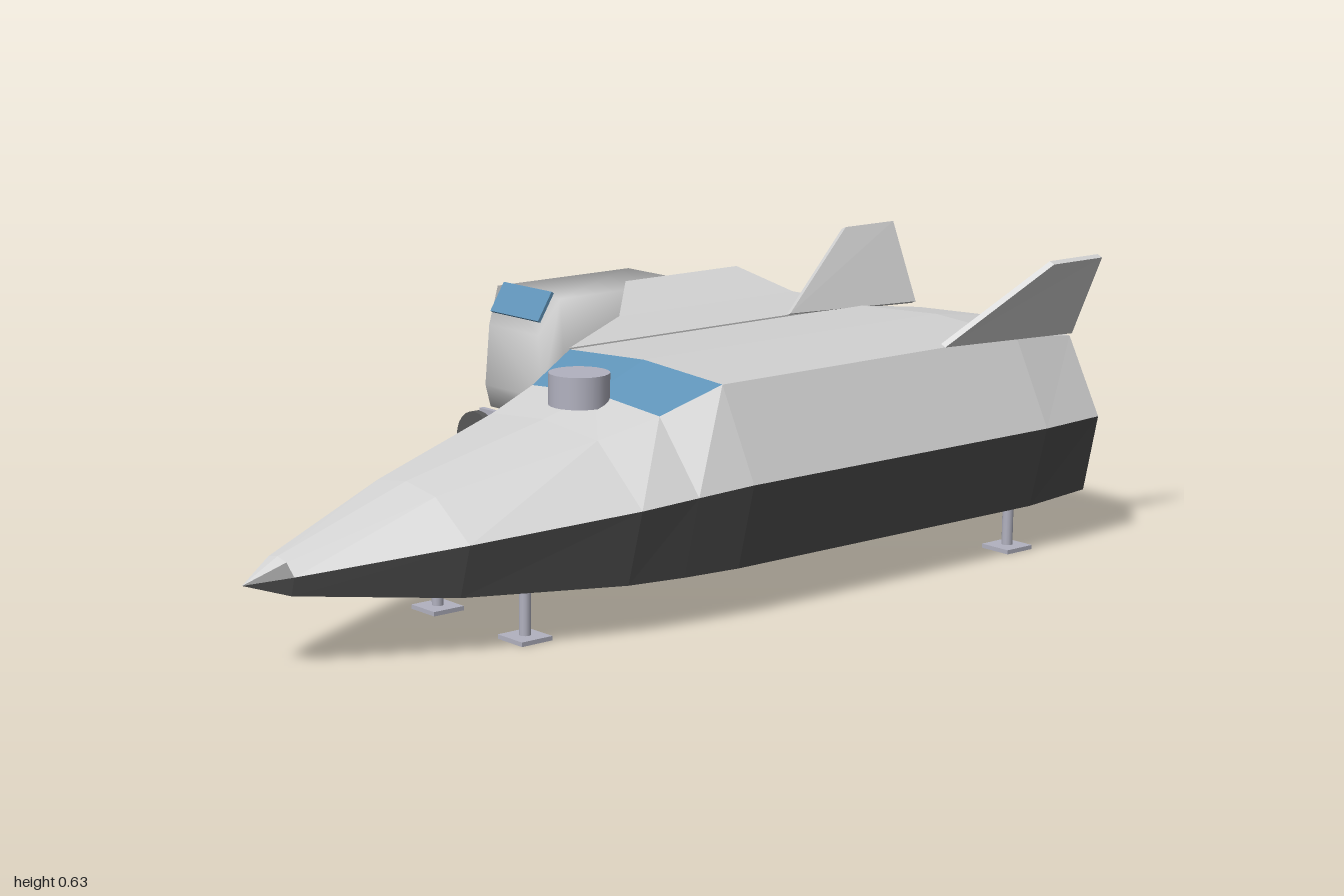
import * as THREE from 'three';

const mat = (name, color, side = THREE.FrontSide) => {
  const m = new THREE.MeshStandardMaterial({ color, side });
  m.name = name;
  return m;
};

export function createModel() {
  const root = new THREE.Group();
  root.name = 'shuttleAndRover';
  const light = mat('hullGrey', 0xd2d2d2, THREE.DoubleSide);
  const dark = mat('undersideGrey', 0x505050, THREE.DoubleSide);
  const bay = mat('bayShadow', 0x3e3b46);
  const glass = mat('windowBlue', 0x5f93b8, THREE.DoubleSide);
  const metal = mat('metalGrey', 0xb2b2c0);
  const tyre = mat('tyreGrey', 0x585858);
  const CZ = 0.405; // ship centreline

  const add = (name, geometry, material, x = 0, y = 0, z = 0, parent = root) => {
    const m = new THREE.Mesh(geometry, material);
    m.name = name;
    m.position.set(x, y, z);
    parent.add(m);
    return m;
  };
  const box = (name, w, h, d, material, x, y, z, parent) =>
    add(name, new THREE.BoxGeometry(w, h, d), material, x, y, z, parent);
  const faceted = (points) => {
    const g = new THREE.BufferGeometry().setFromPoints(points);
    g.computeVertexNormals();
    return g;
  };

  // Hull cross-sections: x, bottom y/half width, middle y/half width, top y/half width, ridge y
  const stations = [
    [-1, 0.172, 0, 0.172, 0, 0.172, 0, 0.172],
    [-0.92, 0.148, 0.045, 0.186, 0.055, 0.21, 0.03, 0.216],
    [-0.62, 0.12, 0.17, 0.228, 0.2, 0.302, 0.093, 0.316],
    [-0.28, 0.106, 0.26, 0.261, 0.3, 0.377, 0.165, 0.392],
    [-0.15, 0.104, 0.277, 0.271, 0.317, 0.413, 0.198, 0.428],
    [-0.02, 0.104, 0.29, 0.28, 0.332, 0.466, 0.236, 0.48],
    [0.32, 0.104, 0.29, 0.28, 0.332, 0.466, 0.236, 0.48],
    [0.82, 0.104, 0.29, 0.28, 0.332, 0.466, 0.236, 0.48],
    [1, 0.112, 0.28, 0.28, 0.315, 0.444, 0.226, 0.456],
  ];
  const rings = stations.map(([x, by, bw, my, mw, ty, tw, ry]) =>
    [[by, bw], [my, mw], [ty, tw], [ry, 0], [ty, -tw], [my, -mw], [by, -bw]]
      .map(([y, w]) => new THREE.Vector3(x, y, CZ + w)));
  const skins = { upperHull: [], lowerHull: [], windscreen: [], cargoOpening: [] };
  const skinOf = (i, j) => {
    if (i === 4 && (j === 2 || j === 3)) return 'windscreen';
    if (j === 4 && (i === 5 || i === 6)) return 'cargoOpening';
    if (j === 5 && i === 6) return 'cargoOpening';
    if (i === 0 && (j === 1 || j === 4)) return 'lowerHull';
    return j === 0 || j > 4 ? 'lowerHull' : 'upperHull';
  };
  for (let i = 0; i < rings.length - 1; i++) {
    for (let j = 0; j < 7; j++) {
      const k = (j + 1) % 7;
      const a = rings[i][j], b = rings[i + 1][j], c = rings[i + 1][k], d = rings[i][k];
      if (i > 0) skins[skinOf(i, j)].push(a, b, c, a, c, d);
      else skins[skinOf(i, j)].push(a, b, c);
    }
  }
  const tail = rings[rings.length - 1];
  for (let j = 1; j < 6; j++) skins.upperHull.push(tail[0], tail[j + 1], tail[j]);
  const skinMaterials = { upperHull: light, lowerHull: dark, windscreen: glass, cargoOpening: bay };
  for (const name in skins) add(name, faceted(skins[name]), skinMaterials[name]);

  // Thin plate: corners in order, given thickness along its own normal
  const plate = (name, corners, t, material, parent = root) => {
    const p = corners.map((c) => new THREE.Vector3(...c));
    const n = p[1].clone().sub(p[0]).cross(p[2].clone().sub(p[0])).normalize();
    const lo = p.map((v) => v.clone().addScaledVector(n, -t / 2));
    const hi = p.map((v) => v.clone().addScaledVector(n, t / 2));
    const f = [];
    for (let i = 1; i < p.length - 1; i++) f.push(hi[0], hi[i], hi[i + 1], lo[0], lo[i + 1], lo[i]);
    for (let i = 0; i < p.length; i++) {
      const k = (i + 1) % p.length;
      f.push(lo[i], lo[k], hi[k], lo[i], hi[k], hi[i]);
    }
    return add(name, faceted(f), material, 0, 0, 0, parent);
  };

  // Tail fins leaning outward
  for (const s of [1, -1]) {
    const lo = CZ + s * 0.235, hi = CZ + s * 0.312;
    plate('tailFin', [[0.6, 0.47, lo], [0.99, 0.455, lo], [0.99, 0.63, hi], [0.84, 0.63, hi]], 0.014, light);
  }

  // Raised cargo door with its wing tip, and the lowered ramp
  plate('cargoDoor', [[-0.02, 0.466, 0.168], [0.82, 0.466, 0.168], [0.82, 0.466, -0.05], [0.3, 0.466, -0.05]], 0.006, light);
  plate('wingTip', [[0.3, 0.466, -0.05], [0.82, 0.466, -0.05], [0.82, 0.5, -0.24], [0.48, 0.5, -0.24]], 0.006, light);
  plate('rampOuter', [[0.32, 0.104, 0.115], [0.82, 0.104, 0.115], [0.82, 0.006, -0.04], [0.32, 0.006, -0.04]], 0.006, dark);
  plate('rampInner', [[0.32, 0.109, 0.112], [0.82, 0.109, 0.112], [0.82, 0.011, -0.043], [0.32, 0.011, -0.043]], 0.004, metal);

  // Body flap under the tail
  plate('bodyFlap', [[0.91, 0.108, 0.17], [0.91, 0.108, 0.62], [1, 0.096, 0.62], [1, 0.096, 0.17]], 0.008, dark);

  // Sensor drum on the nose
  add('sensorDrum', new THREE.CylinderGeometry(0.062, 0.062, 0.065, 24), metal, -0.19, 0.443, CZ);

  // Landing legs
  for (const [x, dz] of [[-0.44, 0.14], [0.815, 0.233]]) {
    for (const s of [1, -1]) {
      const z = CZ + s * dz;
      add('landingLeg', new THREE.CylinderGeometry(0.012, 0.012, 0.1, 12), metal, x, 0.06, z);
      box('landingFoot', 0.075, 0.009, 0.075, metal, x, 0.0045, z);
    }
  }

  // Rover standing beside the ship
  const rover = new THREE.Group();
  rover.name = 'rover';
  rover.position.z = -0.466;
  root.add(rover);

  // Rover cabin: x, bottom y/half width, top y/half width, shared corners for smooth shading
  const cabinRings = [
    [0.335, 0.23, 0.105, 0.375, 0.09],
    [0.38, 0.166, 0.143, 0.458, 0.115],
    [0.78, 0.166, 0.143, 0.458, 0.115],
  ];
  const pos = [], idx = [];
  cabinRings.forEach(([x, by, bw, ty, tw], i) => {
    pos.push(x, by, bw, x, ty, tw, x, ty, -tw, x, by, -bw);
    if (i === 2) return;
    for (let j = 0; j < 4; j++) {
      const a = i * 4 + j, d = i * 4 + (j + 1) % 4;
      idx.push(a, a + 4, d + 4, a, d + 4, d);
    }
  });
  idx.push(0, 1, 2, 0, 2, 3, 8, 10, 9, 8, 11, 10);
  const cabin = new THREE.BufferGeometry();
  cabin.setAttribute('position', new THREE.Float32BufferAttribute(pos, 3));
  cabin.setIndex(idx);
  cabin.computeVertexNormals();
  add('roverCabin', cabin, light, 0, 0, 0, rover);
  plate('roverWindow', [[0.34, 0.405, 0.088], [0.38, 0.469, 0.088], [0.38, 0.469, -0.088], [0.34, 0.405, -0.088]], 0.008, glass, rover);

  // Rover chassis and wheels
  for (const s of [1, -1]) box('chassisRail', 0.34, 0.01, 0.014, metal, 0.56, 0.156, s * 0.1, rover);
  for (const x of [0.403, 0.716]) {
    box('chassisCrossbar', 0.016, 0.012, 0.23, metal, x, 0.156, 0, rover);
    for (const s of [1, -1]) {
      box('wheelBracket', 0.014, 0.08, 0.096, metal, x, 0.11, s * 0.159, rover);
      const wheel = add('wheel', new THREE.CylinderGeometry(0.069, 0.069, 0.05, 24), tyre, x, 0.074, s * 0.203, rover);
      wheel.rotation.z = Math.PI / 2;
    }
  }
  return root;
}
